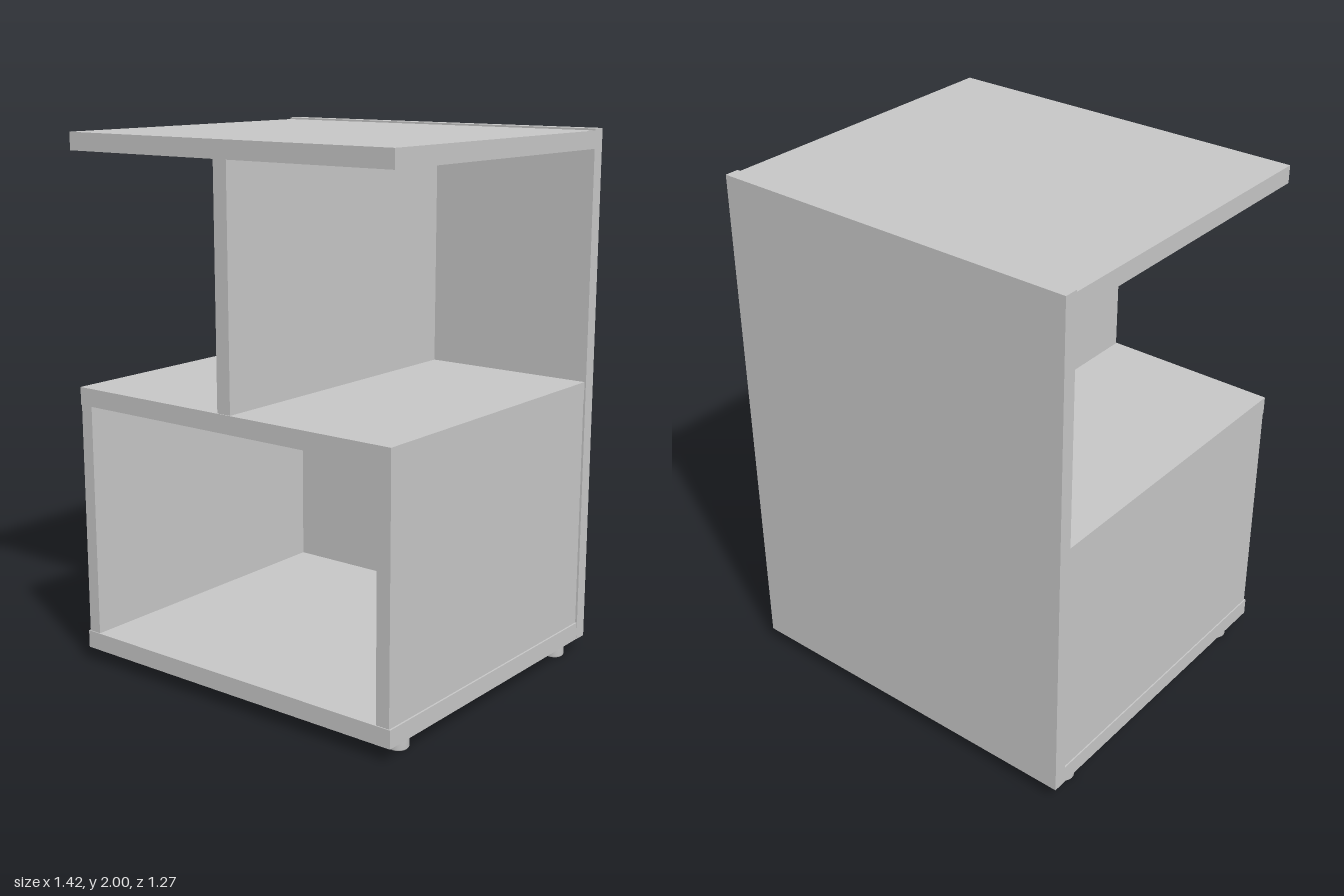
import * as THREE from 'three';

export function createModel() {
  const group = new THREE.Group();
  const grey = new THREE.MeshStandardMaterial({ color: 0xc6c6c6 });
  grey.name = 'light grey';

  // Board given by its limits on each axis
  function board(name, [x0, x1], [y0, y1], [z0, z1]) {
    const mesh = new THREE.Mesh(new THREE.BoxGeometry(x1 - x0, y1 - y0, z1 - z0), grey);
    mesh.position.set((x0 + x1) / 2, (y0 + y1) / 2, (z0 + z1) / 2);
    mesh.name = name;
    group.add(mesh);
  }

  const depth = [-0.582, 0.634];
  const panelDepth = [-0.582, 0.63];

  // Back panel and horizontal boards
  board('backPanel', [-0.712, 0.712], [0.053, 2], [-0.635, -0.582]);
  board('topBoard', [-0.712, 0.712], [1.928, 1.993], depth);
  board('middleShelf', [-0.706, 0.706], [1.003, 1.07], depth);
  board('bottomBoard', [-0.711, 0.711], [0.053, 0.12], depth);

  // Upright panels
  board('leftSide', [0.65, 0.704], [0.12, 1.003], panelDepth);
  board('rightSide', [-0.706, -0.655], [0.12, 1.003], panelDepth);
  board('centreDivider', [-0.03, 0.028], [1.07, 1.928], panelDepth);

  // Small round feet with a softened lower rim
  const footProfile = [[0, 0], [0.033, 0], [0.037, 0.005], [0.037, 0.054]]
    .map(([r, y]) => new THREE.Vector2(r, y));
  const footGeometry = new THREE.LatheGeometry(footProfile, 24);
  for (const x of [-0.655, 0.655]) {
    for (const z of [-0.51, 0.51]) {
      const foot = new THREE.Mesh(footGeometry, grey);
      foot.position.set(x, 0, z);
      foot.name = 'foot';
      group.add(foot);
    }
  }
  return group;
}
